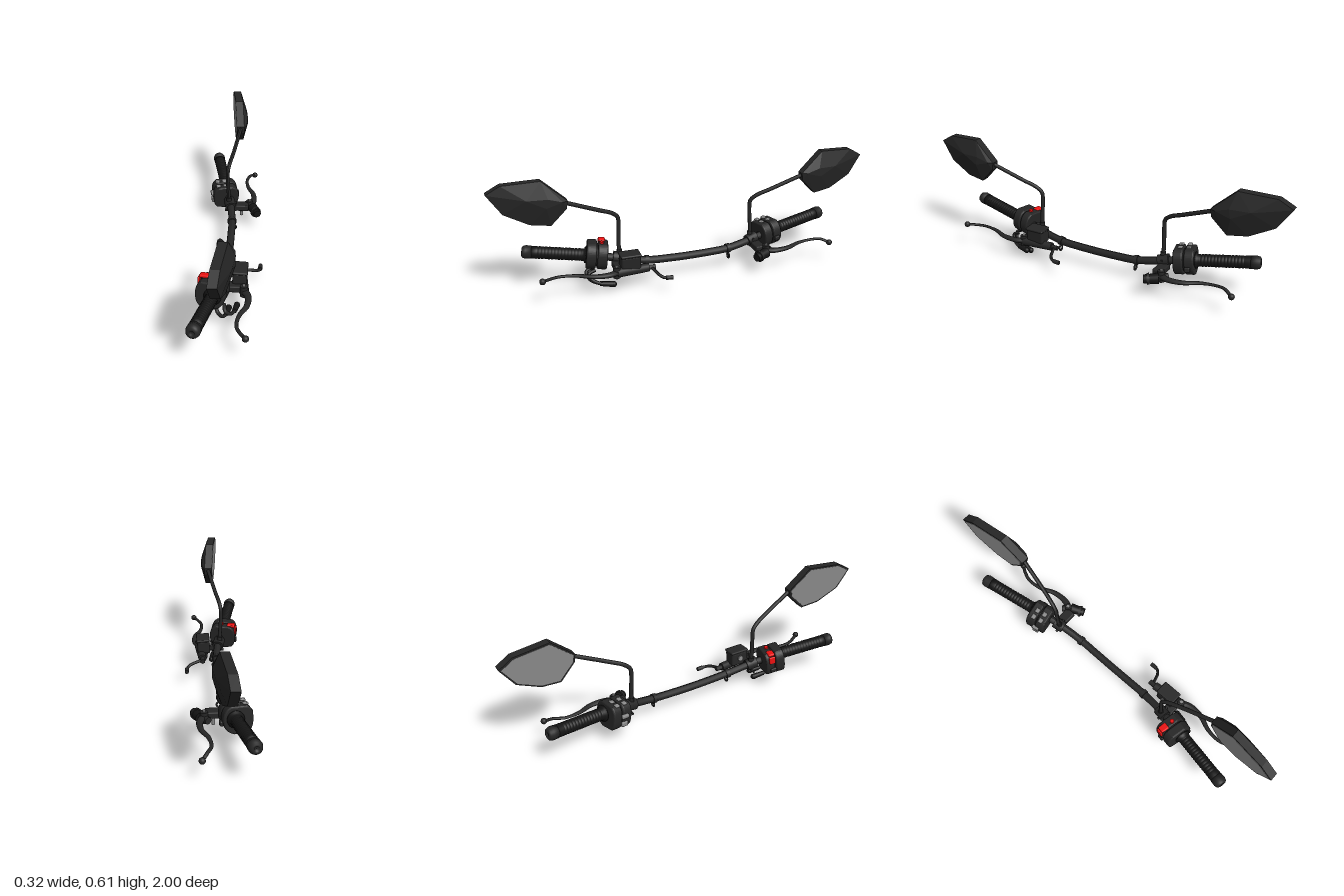
import * as THREE from 'three';
import { ConvexGeometry } from 'three/addons/geometries/ConvexGeometry.js';
import { RoundedBoxGeometry } from 'three/addons/geometries/RoundedBoxGeometry.js';

const mat = (color, flatShading = false) => new THREE.MeshStandardMaterial({ color, flatShading });
const black = mat(0x262626), rubber = mat(0x141414), shell = mat(0x262626, true);
const grey = mat(0x8a8a8a), glass = mat(0x888888), red = mat(0xee1111);
const V = (x, y, z) => new THREE.Vector3(x, y, z);
const Z = V(0, 0, 1);

export function createModel() {
  const root = new THREE.Group();
  root.name = 'handlebar';

  const add = (name, geometry, material, parent = root) => {
    const mesh = new THREE.Mesh(geometry, material);
    mesh.name = name;
    parent.add(mesh);
    return mesh;
  };
  // Straight round part between two points
  const rod = (name, a, b, r1, r2 = r1, material = black, sides = 20, parent = root) => {
    const d = b.clone().sub(a);
    const m = add(name, new THREE.CylinderGeometry(r2, r1, d.length(), sides), material, parent);
    m.position.copy(a).add(b).multiplyScalar(0.5);
    m.quaternion.setFromUnitVectors(V(0, 1, 0), d.normalize());
    return m;
  };
  const ball = (name, p, r, material = black) => {
    const m = add(name, new THREE.SphereGeometry(r, 16, 12), material);
    m.position.copy(p);
    return m;
  };
  const box = (name, p, size, material = black, parent = root, r = 0.006) => {
    const m = add(name, new RoundedBoxGeometry(...size, 2, Math.min(r, Math.min(...size) * 0.45)), material, parent);
    m.position.copy(p);
    return m;
  };
  // Swept tube whose radius (and height) can vary along its length
  const sweep = (name, pts, r, scaleAt = () => 1, flat = 1, material = black) => {
    const curve = new THREE.CatmullRomCurve3(pts), n = 48, k = 12;
    const g = new THREE.TubeGeometry(curve, n, r, k);
    const pos = g.attributes.position, v = V(0, 0, 0);
    for (let i = 0; i <= n; i++) {
      const c = curve.getPointAt(i / n), s = scaleAt(i / n);
      for (let j = 0; j <= k; j++) {
        const q = i * (k + 1) + j;
        v.fromBufferAttribute(pos, q).sub(c).multiplyScalar(s);
        v.y *= flat;
        v.add(c);
        pos.setXYZ(q, v.x, v.y, v.z);
      }
    }
    g.computeVertexNormals();
    return add(name, g, material);
  };

  // Main bar
  const half = [[-0.015, 0.108, 0.12], [-0.016, 0.113, 0.22], [-0.03, 0.135, 0.35],
    [-0.05, 0.155, 0.45], [-0.082, 0.177, 0.6], [-0.128, 0.202, 0.82]];
  sweep('bar', [
    ...half.map(([x, y, z]) => V(x, y, -z)).reverse(), V(-0.015, 0.106, 0), ...half.map(p => V(...p)),
  ], 0.02);

  for (const s of [1, -1]) {
    const P = (x, y, z) => V(x, y, z * s);
    const side = s > 0 ? 'right' : 'left';

    // Ribbed grip with flange and end weight, turned around its own axis
    const a = P(-0.066, 0.168, 0.53), b = P(-0.132, 0.205, 0.845);
    const axis = b.clone().sub(a), len = axis.length();
    axis.normalize();
    const prof = [[0, 0], [0.042, 0], [0.042, 0.01], [0.032, 0.013]];
    for (let i = 0; i < 14; i++) {
      const y = 0.025 + i * 0.0165;
      prof.push([0.032, y], [0.03, y + 0.003], [0.03, y + 0.006], [0.032, y + 0.009]);
    }
    prof.push([0.032, len - 0.046], [0, len - 0.046]);
    const turn = (name, pts, material) => {
      const m = add(name, new THREE.LatheGeometry(pts.map(p => new THREE.Vector2(...p)), 28), material);
      m.position.copy(a);
      m.quaternion.setFromUnitVectors(V(0, 1, 0), axis);
    };
    turn(side + 'Grip', prof, rubber);
    turn(side + 'BarEnd', [[0, len - 0.048], [0.033, len - 0.048], [0.034, len - 0.02],
      [0.029, len - 0.005], [0.02, len], [0.011, len], [0.01, len - 0.006], [0, len - 0.006]], black);

    // Mirror: faceted shell, glass facing the rider, bent stem
    const outline = [[1, 0.562], [0.93, 0.602], [0.745, 0.612], [0.625, 0.505],
      [0.632, 0.465], [0.71, 0.385], [0.81, 0.398], [0.93, 0.46]];
    const faceX = z => -0.05 + (1 - z) * 0.11;
    const rim = outline.flatMap(([z, y]) => [P(faceX(z), y, z), P(faceX(z) + 0.042, y, z)]);
    const spine = [P(0.046, 0.505, 0.65), P(0.05, 0.528, 0.72), P(0.05, 0.483, 0.73), P(0.04, 0.528, 0.82)];
    add(side + 'MirrorShell', new ConvexGeometry([...rim, ...spine]), shell);
    const inset = outline.flatMap(([z, y]) => {
      const gz = 0.8 + (z - 0.8) * 0.94, gy = 0.505 + (y - 0.505) * 0.92;
      return [P(faceX(gz) - 0.0015, gy, gz), P(faceX(gz) + 0.002, gy, gz)];
    });
    add(side + 'MirrorGlass', new ConvexGeometry(inset), glass);
    sweep(side + 'MirrorStem', [P(-0.038, 0.13, 0.365), P(-0.044, 0.22, 0.366), P(-0.048, 0.32, 0.362),
      P(-0.046, 0.36, 0.366), P(-0.038, 0.387, 0.395), P(-0.02, 0.42, 0.47), P(0.012, 0.49, 0.635)], 0.0105);
    rod(side + 'StemNut', P(-0.039, 0.15, 0.365), P(-0.041, 0.185, 0.365), 0.017, 0.015, black, 6);

    // Clamp that carries the lever and mirror
    rod(side + 'Clamp', P(-0.03, 0.134, 0.345), P(-0.042, 0.148, 0.4), 0.031);
    box(side + 'Perch', P(0.02, 0.118, 0.385), [0.1, 0.034, 0.055]);
    for (const y of [0.1, 0.148]) rod(side + 'ClampBolt', P(-0.065, y, 0.372), P(0.0, y, 0.372), 0.007, 0.007, black, 6);
    rod(side + 'LeverPivot', P(0.075, 0.085, 0.41), P(0.075, 0.142, 0.41), 0.019);
    rod(side + 'PivotBolt', P(0.075, 0.078, 0.41), P(0.075, 0.148, 0.41), 0.009, 0.009, grey, 6);

    // Curved lever with ball end
    const yEnd = s > 0 ? 0.132 : 0.112;
    sweep(side + 'Lever', [P(0.07, 0.112, 0.4), P(0.095, 0.113, 0.45), P(0.093, 0.116, 0.53), P(0.06, 0.12, 0.61),
      P(0.052, 0.124, 0.69), P(0.07, 0.128, 0.74), P(0.095, yEnd, 0.78)], 0.017, t => 1.15 - 0.62 * Math.min(1, t * 1.5), 0.75);
    ball(side + 'LeverEnd', P(0.096, yEnd, 0.782), 0.016);

    // Cable clip on the bar
    rod(side + 'ClipBand', P(-0.016, 0.113, 0.217), P(-0.018, 0.115, 0.237), 0.025);
    const loop = add(side + 'ClipLoop', new THREE.TorusGeometry(0.014, 0.005, 8, 18), black);
    loop.position.copy(P(-0.008, 0.076, 0.227));

    // Switch housing: two beveled halves with a seam
    const housing = new THREE.Group();
    housing.name = side + 'SwitchHousing';
    housing.position.copy(P(-0.067, s > 0 ? 0.16 : 0.155, 0.477));
    housing.quaternion.setFromUnitVectors(Z, axis.clone().multiplyScalar(s));
    root.add(housing);
    const shape = new THREE.Shape();
    shape.moveTo(-0.045, 0.058);
    shape.lineTo(0.03, 0.06);
    shape.quadraticCurveTo(0.062, 0.045, 0.062, 0);
    shape.quadraticCurveTo(0.06, -0.05, 0.015, -0.064);
    shape.lineTo(-0.05, -0.055);
    shape.quadraticCurveTo(-0.068, -0.045, -0.068, 0);
    shape.quadraticCurveTo(-0.068, 0.045, -0.045, 0.058);
    for (const z of [-0.054, 0.003]) {
      const g = new THREE.ExtrudeGeometry(shape, { depth: 0.035, bevelSize: 0.008, bevelThickness: 0.008, bevelSegments: 3, curveSegments: 10 });
      g.translate(0, 0, z + 0.008);
      add('housingHalf', g, black, housing);
    }
    rod('housingSeam', V(0, 0, -0.05), V(0, 0, 0.05), 0.06, 0.06, black, 24, housing);
    if (s > 0) {
      box('stopSwitch', V(-0.05, 0.064, -0.02), [0.045, 0.016, 0.036], red, housing);
      box('stopSwitchFace', V(-0.075, 0.036, -0.02), [0.012, 0.042, 0.036], red, housing);
      rod('topButton', V(0.005, 0.06, -0.02), V(0.005, 0.076, -0.02), 0.011, 0.011, red, 16, housing);
      box('starterSwitch', V(-0.075, -0.03, -0.015), [0.014, 0.025, 0.035], black, housing);
    } else {
      for (const [x, z] of [[-0.045, 0.024], [-0.045, -0.02], [-0.005, 0.024], [-0.005, -0.02]])
        box('topButton', V(x, 0.066, z), [0.026, 0.012, 0.024], grey, housing);
      box('turnSwitch', V(-0.078, 0.012, 0.01), [0.02, 0.02, 0.04], grey, housing);
      box('hornButton', V(-0.076, -0.032, 0.01), [0.016, 0.026, 0.036], grey, housing);
      box('passingSwitch', V(0.066, -0.02, -0.02), [0.03, 0.025, 0.03], black, housing);
    }
  }

  // Brake fluid reservoir with lid and sight glass
  box('reservoir', V(0.052, 0.153, 0.335), [0.07, 0.075, 0.1], black, root, 0.01).rotation.z = -0.06;
  box('reservoirLid', V(0.055, 0.192, 0.335), [0.074, 0.014, 0.106]).rotation.z = -0.06;
  rod('sightGlass', V(0.01, 0.158, 0.335), V(0.03, 0.157, 0.335), 0.015, 0.015, grey);
  // Master cylinder, banjo fitting and brake hose
  rod('masterCylinder', V(0.075, 0.11, 0.41), V(0.06, 0.108, 0.24), 0.025, 0.022);
  rod('banjoBolt', V(0.06, 0.108, 0.245), V(0.06, 0.106, 0.205), 0.014, 0.014, black, 6);
  sweep('brakeHose', [V(0.06, 0.107, 0.225), V(0.09, 0.1, 0.217), V(0.125, 0.09, 0.205), V(0.145, 0.08, 0.185), V(0.15, 0.076, 0.145)], 0.008);
  rod('hoseEnd', V(0.149, 0.078, 0.175), V(0.15, 0.076, 0.14), 0.011);

  // Clutch cable adjuster and rubber boot
  rod('cableAdjuster', V(0.055, 0.108, -0.44), V(0.1, 0.104, -0.38), 0.018, 0.02);
  rod('cableBoot', V(0.09, 0.104, -0.405), V(0.122, 0.098, -0.335), 0.028, 0.022, rubber);
  rod('adjusterWheel', V(0.108, 0.1, -0.362), V(0.114, 0.099, -0.35), 0.03, 0.03, black, 16);
  rod('adjusterBolt', V(0.03, 0.06, -0.39), V(0.03, 0.11, -0.39), 0.01, 0.01, grey, 6);

  // Throttle cables curling under the right housing
  [[[-0.055, 0.1, 0.5], [-0.045, 0.085, 0.54], [-0.025, 0.05, 0.53], [-0.007, 0.025, 0.48], [0.002, 0.016, 0.42]],
    [[-0.015, 0.1, 0.5], [-0.008, 0.085, 0.535], [0.012, 0.058, 0.52], [0.032, 0.04, 0.475], [0.042, 0.034, 0.42]]].forEach(path => {
    const pts = path.map(p => V(...p));
    sweep('throttleCable', pts, 0.009);
    rod('cableSleeve', pts[3], pts[4], 0.012, 0.015, rubber);
    ball('cableEnd', pts[4], 0.0155, rubber);
  });
  return root;
}
